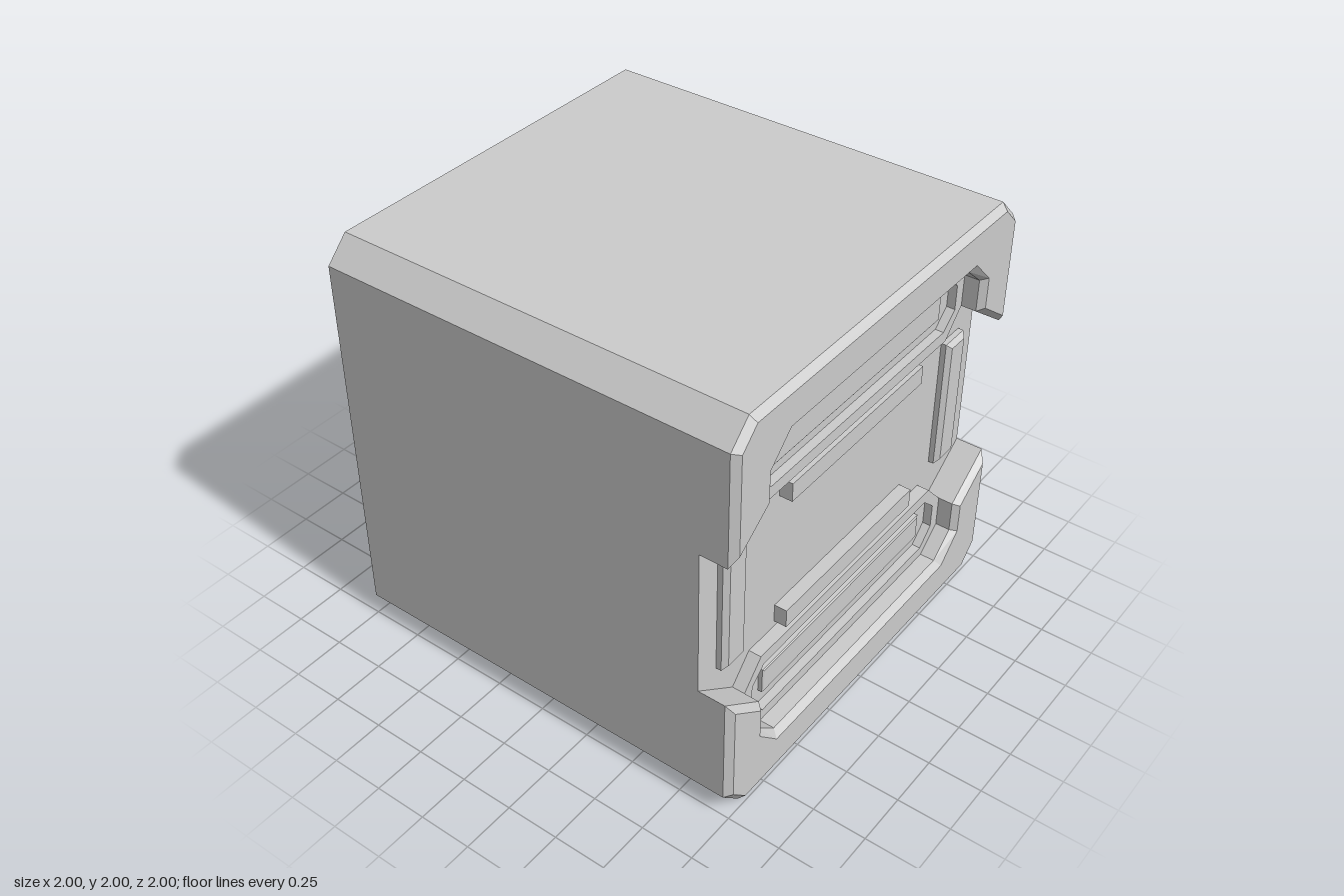
import * as THREE from 'three';

const material = new THREE.MeshStandardMaterial({ color: 0xcccccc, flatShading: true, side: THREE.DoubleSide });

// Depths of the stepped front
const BACK = -1, FLOOR = 0.84, INSET = 0.86, BEVEL = 0.865, BAR = 0.885, RIM = 0.9, EDGE = 0.97, FRONT = 1;

// Right half of an outline, completed by its mirror image (counter-clockwise)
const sym = (half) => [...half, ...half.slice().reverse().map(([x, y]) => [-x, y])];
const rect = (x0, x1, y0, y1) => [[x0, y0], [x1, y0], [x1, y1], [x0, y1]];
const vectors = (pts) => pts.map(([x, y]) => new THREE.Vector2(x, y));

function add(group, name, geometry) {
  const mesh = new THREE.Mesh(geometry, material);
  mesh.name = name;
  group.add(mesh);
}

// Flat face at depth z, with optional openings
function face(group, name, outline, z, holes = []) {
  const shape = new THREE.Shape(vectors(outline));
  shape.holes = holes.map((h) => new THREE.Path(vectors(h)));
  add(group, name, new THREE.ShapeGeometry(shape).translate(0, 0, z));
}

// Wall joining path a at depth za to path b at depth zb
function wall(group, name, a, za, b, zb, closed = true) {
  const pos = [];
  for (let i = 0; i < a.length - (closed ? 0 : 1); i++) {
    const j = (i + 1) % a.length;
    const a0 = [...a[i], za], a1 = [...a[j], za], b0 = [...b[i], zb], b1 = [...b[j], zb];
    pos.push(...a0, ...a1, ...b1, ...a0, ...b1, ...b0);
  }
  const geometry = new THREE.BufferGeometry();
  geometry.setAttribute('position', new THREE.Float32BufferAttribute(pos, 3));
  geometry.computeVertexNormals();
  add(group, name, geometry);
}

// Hollow raised bar with a bevelled top
function bar(group, name, [x0, x1, y0, y1], base, shoulder, top, inset) {
  const outer = rect(x0, x1, y0, y1);
  const inner = rect(x0 + inset, x1 - inset, y0 + inset, y1 - inset);
  wall(group, name + 'Sides', outer, base, outer, shoulder);
  wall(group, name + 'Bevel', outer, shoulder, inner, top);
  face(group, name + 'Top', inner, top);
}

const LEDGE = [-0.48, 0.48, 1.29, 1.38];
const SLOT = [-0.61, 0.61, 1.535, 1.665];

function upperHalf() {
  const g = new THREE.Group();

  // Outer shell and the bevelled front plate with its notch
  const contour = sym([[0.645, 1.79], [0.765, 1.685], [0.765, 1.53], [1, 1.357], [1, 1.893], [0.893, 2]]);
  const plate = sym([[0.665, 1.82], [0.79, 1.695], [0.79, 1.545], [0.97, 1.41], [0.97, 1.882], [0.882, 1.97]]);
  const skin = contour.slice(3, 9);
  wall(g, 'shell', skin, BACK, skin, EDGE, false);
  wall(g, 'plateBevel', contour, EDGE, plate, FRONT);
  face(g, 'frontPlate', plate, FRONT);

  // Walls of the notch
  const notch = [...contour.slice(9), ...contour.slice(0, 3)];
  wall(g, 'notchWall', notch, RIM, notch, EDGE, false);
  for (const side of [contour.slice(2, 4), contour.slice(8, 10)])
    wall(g, 'notchSide', side, FLOOR, side, EDGE, false);

  // Raised eight-sided rim with a sunken panel
  const rim = sym([[0.655, 1.41], [0.765, 1.53], [0.765, 1.685], [0.645, 1.79]]);
  const panel = sym([[0.63, 1.467], [0.71, 1.54], [0.71, 1.66], [0.63, 1.74]]);
  const lip = [rim[6], rim[7], rim[0], rim[1]];
  wall(g, 'rimLip', lip, FLOOR, lip, RIM, false);
  face(g, 'rim', rim, RIM, [panel]);
  wall(g, 'panelWall', panel, RIM, panel, INSET);
  face(g, 'panel', panel, INSET, [rect(...SLOT)]);
  bar(g, 'longBar', SLOT, INSET, BAR - 0.005, BAR, 0.008);

  // Plain ledge beside the rim
  const ledge = rect(...LEDGE);
  wall(g, 'ledgeSides', ledge, FLOOR, ledge, RIM);
  face(g, 'ledgeTop', ledge, RIM);
  return g;
}

export function createModel() {
  const model = new THREE.Group();
  model.name = 'panelledBox';

  const upper = upperHalf();
  upper.name = 'upperHalf';
  const lower = upper.clone();
  lower.name = 'lowerHalf';
  lower.scale.y = -1;
  lower.position.y = 2;
  model.add(upper, lower);

  // Sunken middle floor, open behind the ledges and side bars
  const sideBars = [[0.738, 0.882, 0.674, 1.326], [-0.882, -0.738, 0.674, 1.326]];
  const [lx0, lx1, ly0, ly1] = LEDGE;
  const floor = sym([[0.655, 0.59], [0.765, 0.47], [1, 0.643], [1, 1.357], [0.765, 1.53], [0.655, 1.41]]);
  face(model, 'middleFloor', floor, FLOOR,
    [rect(...LEDGE), rect(lx0, lx1, 2 - ly1, 2 - ly0), ...sideBars.map((b) => rect(...b))]);
  for (const b of sideBars) bar(model, 'sideBar', b, FLOOR, BEVEL, BAR, 0.022);

  // Middle strips of the side walls
  for (const s of [1, -1]) {
    const edge = [[s, 1 - 0.357 * s], [s, 1 + 0.357 * s]];
    wall(model, 'middleSideWall', edge, BACK, edge, FLOOR, false);
  }
  return model;
}
